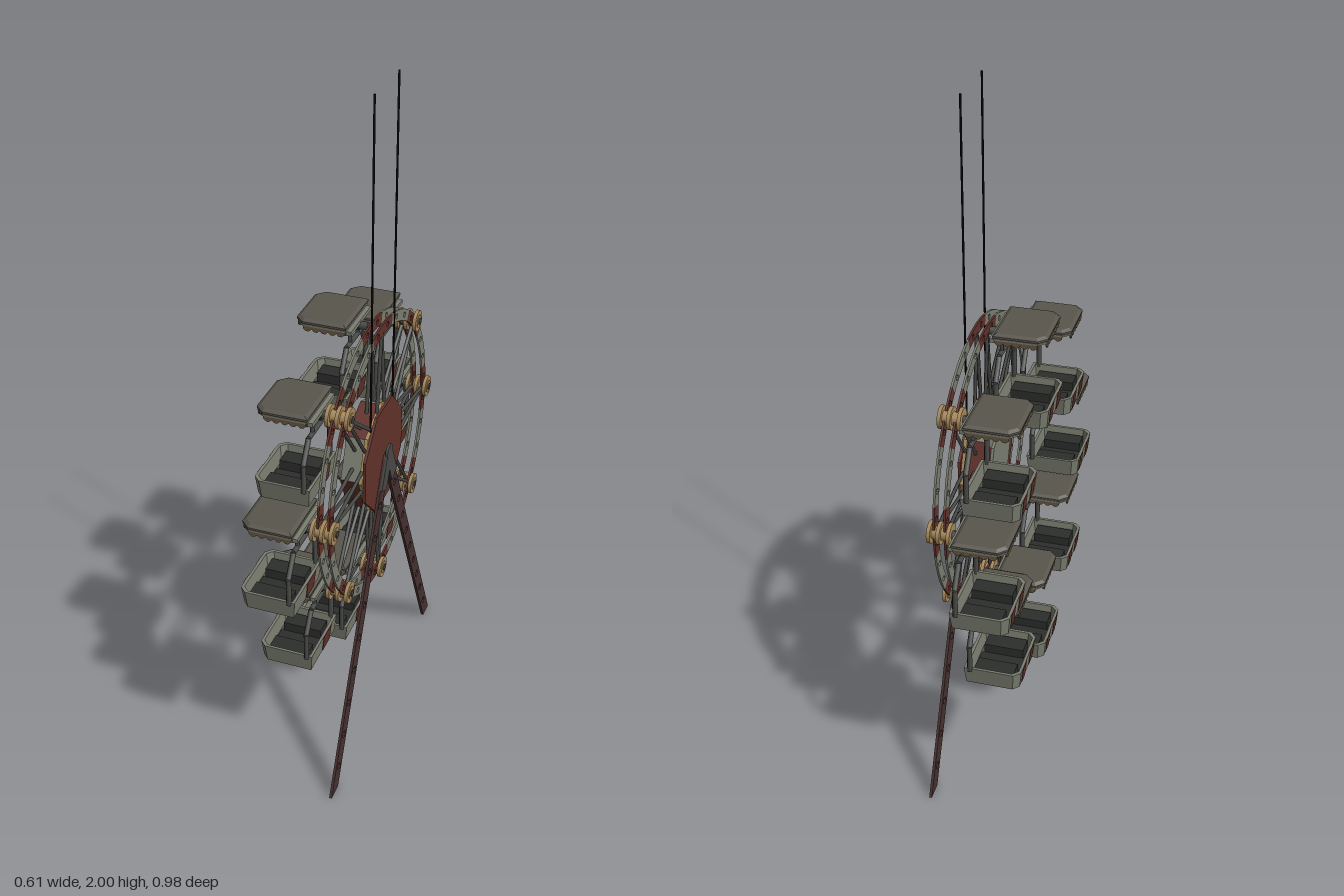
import * as THREE from 'three';

const mat = (name, color) => {
  const m = new THREE.MeshStandardMaterial({ color });
  m.name = name;
  return m;
};
const M = {
  roof: mat('roof grey', 0x59554d),
  stone: mat('pale grey green', 0x7c7f72),
  red: mat('rust red', 0x61322b),
  tan: mat('brass', 0xa88a5c),
  brown: mat('fringe brown', 0x65553f),
  steel: mat('dark steel', 0x494b48),
  leg: mat('brown iron', 0x463130),
  dark: mat('seat dark', 0x2c2e2c),
  black: mat('cable black', 0x070707),
};

const RADIUS = 0.403, TAU = Math.PI * 2;
const V = (x, y, z) => new THREE.Vector3(x, y, z);

function add(parent, name, geo, material, x = 0, y = 0, z = 0) {
  const m = new THREE.Mesh(geo, material);
  m.name = name;
  m.position.set(x, y, z);
  parent.add(m);
  return m;
}
const box = (w, h, d) => new THREE.BoxGeometry(w, h, d);
// Cylinder along z
const disc = (r, d, n = 14) => new THREE.CylinderGeometry(r, r, d, n).rotateX(Math.PI / 2);
// Octagonal plate with flat sides
function octagon(r, d, turn = 0) {
  const geo = disc(r, d, 8).rotateZ(turn).toNonIndexed();
  geo.computeVertexNormals();
  return geo;
}

function rod(parent, name, a, b, r, material, sides = 5) {
  const d = b.clone().sub(a);
  const m = add(parent, name, new THREE.CylinderGeometry(r, r, d.length(), sides), material);
  m.position.copy(a).add(b).multiplyScalar(0.5);
  m.quaternion.setFromUnitVectors(V(0, 1, 0), d.normalize());
}
function circleHole(x, y, r) {
  return new THREE.Path().absarc(x, y, r, 0, TAU, true);
}
const extrude = (shape, depth, extra = {}) =>
  new THREE.ExtrudeGeometry(shape, { depth, bevelEnabled: false, curveSegments: 5, ...extra });

// Curved plate with bolt holes
function arcPlate(r0, r1, a0, a1, depth, holes) {
  const s = new THREE.Shape();
  s.absarc(0, 0, r1, a0, a1, false);
  s.absarc(0, 0, r0, a1, a0, true);
  for (let i = 0; i < holes; i++) {
    const a = a0 + (a1 - a0) * (i + 0.5) / holes, r = (r0 + r1) / 2;
    s.holes.push(circleHole(Math.cos(a) * r, Math.sin(a) * r, 0.0085));
  }
  return extrude(s, depth);
}

// Footprint with clipped outer corners; shape +y becomes local -z
function footprint(w, d, c) {
  return [[-w, -d], [w, -d], [w, d - c], [w - c, d], [-w + c, d], [-w, d - c]]
    .map(([x, y]) => new THREE.Vector2(x, y));
}
// Narrow the lower part of the tub
function taper(geo) {
  const p = geo.attributes.position;
  for (let i = 0; i < p.count; i++) {
    const k = 0.93 + 0.07 * Math.min(1, Math.max(0, p.getY(i) / 0.055));
    p.setX(i, p.getX(i) * k);
    p.setZ(i, p.getZ(i) * k);
  }
  geo.computeVertexNormals();
  return geo;
}
// Scalloped strip hanging below the roof
function fringe(w, n) {
  const s = new THREE.Shape();
  s.moveTo(-w / 2, 0.014);
  s.lineTo(-w / 2, 0);
  for (let i = 0; i < n; i++) {
    const x = -w / 2 + w * i / n;
    s.quadraticCurveTo(x + w / n / 2, -0.016, x + w / n, 0);
  }
  s.lineTo(w / 2, 0.014);
  return extrude(s, 0.004, { curveSegments: 3 }).translate(0, 0, -0.002);
}

function createCabin() {
  const g = new THREE.Group();
  g.name = 'cabin';
  const c = new THREE.Group();
  c.name = 'cabinBody';
  c.position.z = -0.13;
  g.add(c);

  // Roof with a pale rim under the bevelled top
  const roof = extrude(new THREE.Shape(footprint(0.082, 0.064, 0.018)), 0.006,
    { bevelEnabled: true, bevelThickness: 0.006, bevelSize: 0.01, bevelSegments: 1 }).rotateX(-Math.PI / 2);
  add(c, 'roof', roof, M.roof, 0, 0.026, 0);
  const rim = extrude(new THREE.Shape(footprint(0.089, 0.072, 0.021)), 0.005).rotateX(-Math.PI / 2);
  add(c, 'roofRim', rim, M.stone, 0, 0.018, 0);
  add(c, 'fringeOuter', fringe(0.138, 6), M.brown, 0, 0.01, -0.069);
  add(c, 'fringeInner', fringe(0.172, 7), M.brown, 0, 0.01, 0.068);
  for (const s of [-1, 1])
    add(c, 'fringeSide', fringe(0.118, 5), M.brown, s * 0.086, 0.01, 0.01).rotation.y = Math.PI / 2;
  add(c, 'roofBeam', box(0.16, 0.012, 0.014), M.stone, 0, 0.012, 0.078);

  // Tub with hollow inside
  const tub = new THREE.Group();
  tub.name = 'tub';
  tub.position.y = -0.235;
  c.add(tub);
  const wall = new THREE.Shape(footprint(0.1, 0.081, 0.018));
  wall.holes.push(new THREE.Path(footprint(0.092, 0.073, 0.016).reverse()));
  add(tub, 'tubWall', taper(extrude(wall, 0.055).rotateX(-Math.PI / 2)), M.stone);
  const floor = extrude(new THREE.Shape(footprint(0.099, 0.08, 0.018)), 0.008).rotateX(-Math.PI / 2);
  add(tub, 'tubFloor', taper(floor), M.roof);
  // Painted stripes
  for (const x of [-0.042, 0.042])
    add(tub, 'stripeOuter', taper(box(0.038, 0.055, 0.002).translate(x, 0.0275, -0.0815)), M.red);
  add(tub, 'stripeInner', taper(box(0.06, 0.055, 0.002).translate(0.025, 0.0275, 0.0815)), M.red);
  // Seats
  for (const s of [-1, 1])
    add(tub, 'seat', box(0.05, 0.032, 0.115), M.dark, s * 0.055, 0.024, 0);
  add(tub, 'footwell', box(0.06, 0.004, 0.13), M.dark, 0, 0.01, 0);

  // Hanging frame
  const pts = [[-0.097, -0.19], [-0.097, -0.105], [-0.058, -0.045], [0.058, -0.045], [0.097, -0.105], [0.097, -0.19]]
    .map(([x, y]) => V(x, y, 0.064));
  for (let i = 0; i < 5; i++) rod(c, 'frameBar', pts[i], pts[i + 1], 0.0078, M.steel, 6);
  for (const s of [-1, 1])
    rod(c, 'frameHanger', V(s * 0.03, -0.045, 0.064), V(s * 0.03, 0.02, 0.064), 0.006, M.steel);

  // Axle to the wheel
  add(g, 'axle', disc(0.012, 0.07, 8), M.steel, 0, 0, -0.06);
  add(g, 'axleBlock', box(0.03, 0.026, 0.02), M.dark, 0, 0.004, -0.058);
  return g;
}

function createKnob() {
  const g = new THREE.Group();
  g.name = 'knob';
  add(g, 'knobCore', disc(0.019, 0.066), M.tan);
  for (const z of [-0.028, 0, 0.026]) add(g, 'knobFlange', disc(0.032, 0.01), M.tan, 0, 0, z);
  add(g, 'knobBolt', disc(0.01, 0.072, 8), M.steel);
  return g;
}

const LEAN = Math.atan2(0.442, 0.911);

function createLeg(side) {
  // Perforated bar from apex to ground, cut level at the foot
  const len = 1.0, half = 0.024, cut = half * Math.tan(LEAN), s = new THREE.Shape();
  s.moveTo(-half, cut * side);
  s.lineTo(half, -cut * side);
  s.lineTo(half, len);
  s.absarc(0, len, half, 0, Math.PI, false);
  for (let i = 0; i < 10; i++) s.holes.push(circleHole(0, 0.08 + i * 0.098, 0.0115));
  const leg = add(new THREE.Group(), 'leg', extrude(s, 0.008), M.leg, side * 0.442, -0.911, 0.032);
  leg.rotation.z = side * LEAN;
  return leg;
}

export function createModel() {
  const model = new THREE.Group();
  model.name = 'ferrisWheel';
  const g = new THREE.Group();
  g.name = 'wheelAssembly';
  g.position.set(0.081, 0.911, -0.053);
  g.rotation.y = 1.981;
  model.add(g);

  // Twin rims in alternating colours
  for (const z of [-0.018, 0.012])
    for (let i = 0; i < 16; i++) {
      const a = i * TAU / 16, h = TAU / 32;
      add(g, 'rimSegment', arcPlate(0.383, 0.416, a - h, a + h, 0.006, 2), i % 2 ? M.stone : M.red, 0, 0, z);
    }

  // Spokes, knobs and cabins
  const cabin = createCabin(), knob = createKnob();
  for (let i = 0; i < 8; i++) {
    const a = i * TAU / 8, x = Math.cos(a) * RADIUS, y = Math.sin(a) * RADIUS;
    for (const z of [-0.016, 0.014])
      for (const s of [-1, 1]) {
        const b = a + s * 0.27;
        rod(g, 'spoke', V(Math.cos(b) * 0.13, Math.sin(b) * 0.13, z), V(x * 0.97, y * 0.97, z), 0.0055, M.steel);
      }
    if (i !== 2) {
      const k = knob.clone();
      k.position.set(x, y, 0);
      g.add(k);
    }
    const c = cabin.clone();
    c.position.set(x, y, 0);
    g.add(c);
  }

  // Hub: alternating drum wedges between octagonal plates
  for (let i = 0; i < 8; i++) {
    const a0 = i * TAU / 8, a1 = a0 + TAU / 8, r = 0.162;
    const s = new THREE.Shape();
    s.moveTo(0, 0);
    s.lineTo(Math.cos(a0) * r, Math.sin(a0) * r);
    s.lineTo(Math.cos(a1) * r, Math.sin(a1) * r);
    add(g, 'hubWedge', extrude(s, 0.055), i % 2 ? M.stone : M.red, 0, 0, -0.045);
  }
  add(g, 'hubBackCap', octagon(0.1, 0.012), M.stone, 0, 0, -0.047);
  add(g, 'hubTrim', octagon(0.168, 0.01), M.tan, 0, 0, 0.015);
  add(g, 'hubFace', octagon(0.171, 0.008, Math.PI / 8), M.red, 0, 0, 0.023);

  // Legs and apex plate
  for (const side of [-1, 1]) {
    g.add(createLeg(side));
    const plate = add(g, 'apexPlate', box(0.046, 0.11, 0.006), M.steel, side * 0.022, -0.042, 0.042);
    plate.rotation.z = side * LEAN;
  }
  add(g, 'apexCap', disc(0.024, 0.007), M.steel, 0, 0.012, 0.042);

  // Hanging cables
  for (const s of [-1, 1])
    rod(g, 'cable', V(s * 0.094, 0.12, 0.018), V(s * 0.094, 1.089, 0.018), 0.003, M.black);
  return model;
}
